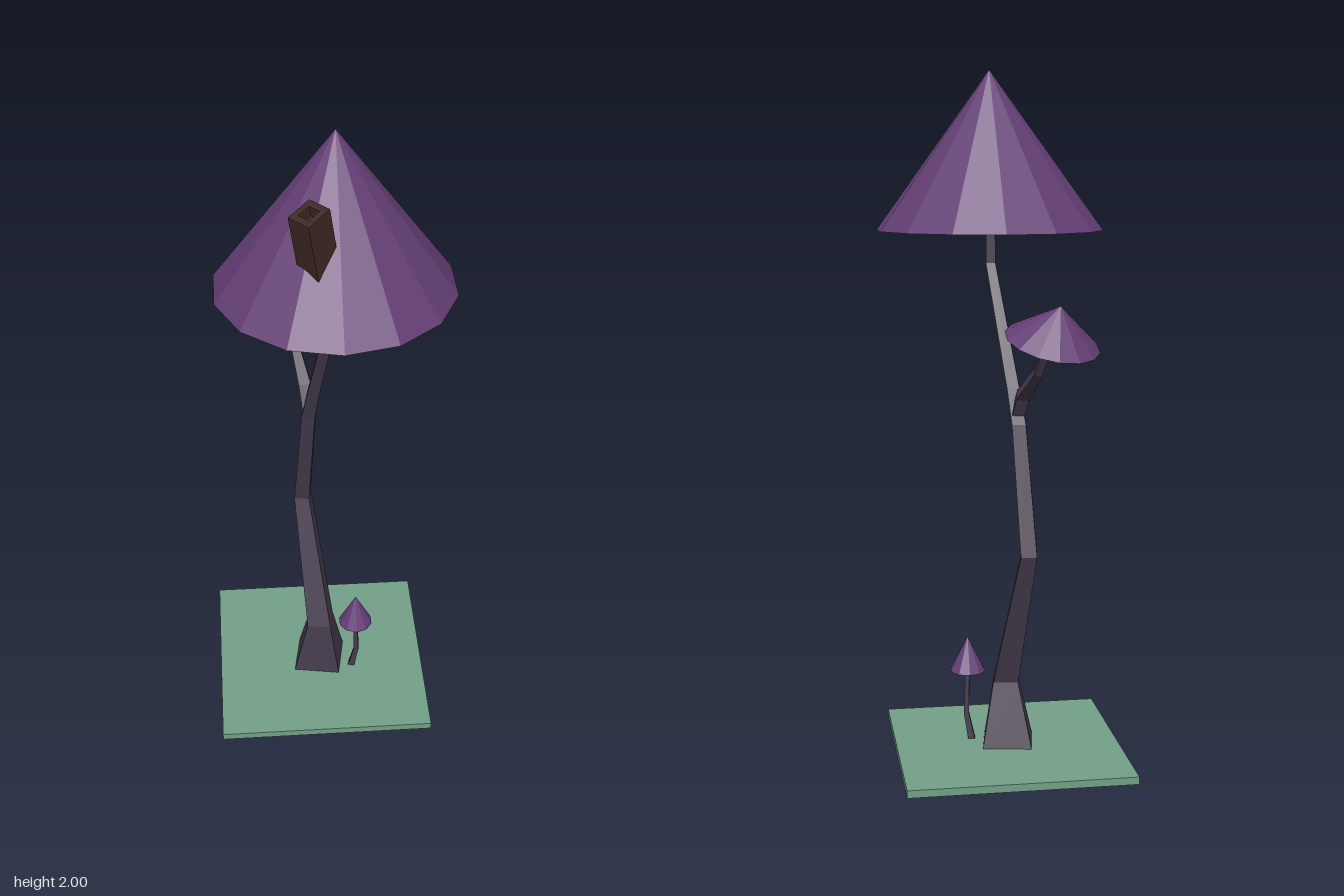
import * as THREE from 'three';

const mat = (color) => new THREE.MeshStandardMaterial({ color, flatShading: true });

// Square-section limb lofted through rings [x, y, z, side, tilt about x]
function limb(rings, turn = -0.17) {
  const corners = [[1, 1], [1, -1], [-1, -1], [-1, 1]];
  const rows = rings.map(([x, y, z, side, tilt = 0]) => corners.map(([cx, cz]) =>
    new THREE.Vector3(cx * side / 2, 0, cz * side / 2)
      .applyAxisAngle(new THREE.Vector3(0, 1, 0), turn)
      .applyAxisAngle(new THREE.Vector3(1, 0, 0), tilt)
      .add(new THREE.Vector3(x, y, z))));
  const pos = [];
  const quad = (a, b, c, d) => [a, b, c, a, c, d].forEach((v) => pos.push(v.x, v.y, v.z));
  for (let i = 0; i < rows.length - 1; i++) {
    for (let j = 0; j < 4; j++) {
      const k = (j + 1) % 4;
      quad(rows[i][j], rows[i][k], rows[i + 1][k], rows[i + 1][j]);
    }
  }
  const first = rows[0];
  const last = rows[rows.length - 1];
  quad(first[3], first[2], first[1], first[0]);
  quad(last[0], last[1], last[2], last[3]);
  const geo = new THREE.BufferGeometry();
  geo.setAttribute('position', new THREE.Float32BufferAttribute(pos, 3));
  geo.computeVertexNormals();
  return geo;
}

// Faceted conical cap with a sloped lip and hollow underside, rim at y = 0
function cap(radius, height, sides) {
  const profile = [[0, 0.34], [0.45, 0.26], [0.83, 0.06], [1, 0], [0, 1]];
  return new THREE.LatheGeometry(
    profile.map(([r, y]) => new THREE.Vector2(r * radius, y * height)), sides);
}

export function createModel() {
  const group = new THREE.Group();
  const purple = mat(0x643e75);
  const bark = mat(0x453b4d);
  const brown = mat(0x3f2a25);
  const up = new THREE.Vector3(0, 1, 0);

  const add = (name, geo, material, x = 0, y = 0, z = 0) => {
    const mesh = new THREE.Mesh(geo, material);
    mesh.name = name;
    mesh.position.set(x, y, z);
    group.add(mesh);
    return mesh;
  };

  // Ground plate
  add('groundPlate', new THREE.BoxGeometry(0.655, 0.022, 0.655), mat(0x73a088), -0.013, 0.023, -0.037);

  // Crooked trunk and side branch
  add('trunk', limb([
    [-0.018, 0.02, -0.032, 0.148],
    [-0.015, 0.22, -0.012, 0.073],
    [-0.06, 0.63, -0.152, 0.046],
    [-0.043, 1.0, -0.073, 0.04],
    [-0.032, 1.1, -0.037, 0.036],
    [0.014, 1.45, 0.095, 0.028],
    [0.014, 1.7, 0.095, 0.024],
  ]), bark);
  add('branch', limb([
    [-0.042, 1.03, -0.07, 0.036, -0.3],
    [-0.05, 1.085, -0.1, 0.036, -0.8],
    [-0.075, 1.165, -0.21, 0.024, -0.8],
    [-0.1, 1.29, -0.285, 0.018, -0.4],
  ]), bark);

  // Large and branch caps
  add('mainCap', cap(0.33, 0.455, 14), purple, 0.02, 1.545, 0.083);
  const branchCap = add('branchCap', cap(0.133, 0.107, 14), purple, -0.1, 1.258, -0.282);
  branchCap.quaternion.setFromUnitVectors(up, new THREE.Vector3(-0.16, 1, -0.34).normalize());

  // Little mushroom beside the trunk
  add('sproutStem', limb([
    [0.08, 0.003, 0.008, 0.022],
    [0.1, 0.11, 0.018, 0.015],
    [0.095, 0.27, 0.025, 0.011],
  ]), bark);
  add('sproutCap', cap(0.053, 0.105, 10), purple, 0.095, 0.24, 0.025);

  // Leaning square chimney with an open flue
  const w = 0.04;
  const h = 0.034;
  const outline = new THREE.Shape([[-w, -h], [w, -h], [w, h], [-w, h]].map((p) => new THREE.Vector2(...p)));
  const flue = [[-0.5, -0.5], [-0.5, 0.5], [0.5, 0.5], [0.5, -0.5]];
  outline.holes.push(new THREE.Path(flue.map(([x, y]) => new THREE.Vector2(x * w, y * h))));
  const chimneyGeo = new THREE.ExtrudeGeometry(outline, { depth: 0.19, bevelEnabled: false })
    .rotateX(-Math.PI / 2).rotateY(0.78);
  const chimney = new THREE.Group();
  chimney.name = 'chimney';
  const shaft = new THREE.Mesh(chimneyGeo, brown);
  shaft.name = 'chimneyShaft';
  const plug = new THREE.Mesh(new THREE.BoxGeometry(w, 0.14, h).rotateY(0.78), brown);
  plug.name = 'flueFloor';
  plug.position.y = 0.09;
  chimney.add(shaft, plug);
  chimney.position.set(-0.032, 1.69, 0.243);
  chimney.quaternion.setFromUnitVectors(up, new THREE.Vector3(-0.027, 0.185, 0.035).normalize());
  group.add(chimney);

  return group;
}
